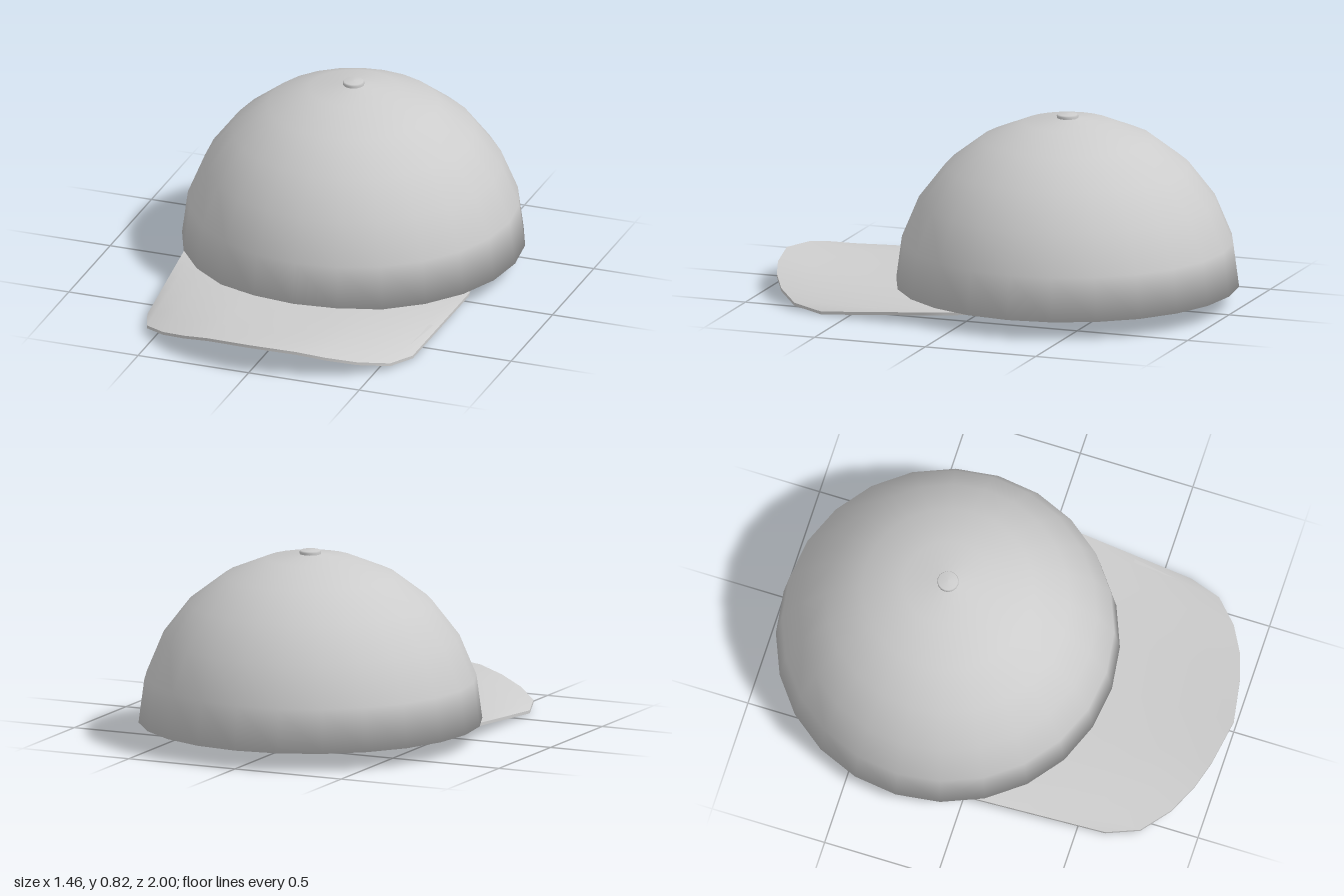
import * as THREE from 'three';

const fabric = new THREE.MeshStandardMaterial({ color: 0xcccccc });
fabric.name = 'greyFabric';
const fabricTwoSided = fabric;
fabricTwoSided.side = THREE.DoubleSide;

const CROWN_Z = -0.27, CROWN_R = 0.73, RIM_Y = 0.08, CROWN_H = 0.725;

function lathe(name, points, segments) {
  const profile = points.map(([r, y]) => new THREE.Vector2(r, y));
  const mesh = new THREE.Mesh(new THREE.LatheGeometry(profile, segments), fabric);
  mesh.name = name;
  mesh.position.z = CROWN_Z;
  return mesh;
}

// Half-sphere with a closed base, shaded softly around the rim
function makeCrown() {
  const points = [[0, RIM_Y], [0.54, RIM_Y]];
  for (let i = 0; i <= 6; i++) {
    const a = (i * Math.PI) / 12;
    points.push([i === 6 ? 0 : CROWN_R * Math.cos(a), RIM_Y + CROWN_H * Math.sin(a)]);
  }
  return lathe('crown', points, 24);
}

// Front edge of the visor from centre to corner: x, z, y
const EDGE = [
  [0, 1, 0.13], [0.2, 0.965, 0.115], [0.32, 0.925, 0.09],
  [0.44, 0.86, 0.06], [0.55, 0.76, 0.03], [0.6, 0.62, 0.014],
];

// Thin arched plate: a box whose columns run from under the crown to the front edge
function makeVisor() {
  const rows = 7, thickness = 0.013;
  const geo = new THREE.BoxGeometry(2, 1, 1, 10, 1, rows);
  const pos = geo.attributes.position;
  for (let i = 0; i < pos.count; i++) {
    const u = pos.getX(i), side = Math.sign(u);
    const [ex, ez, ey] = EDGE[Math.round(Math.abs(u) * 5)];
    const row = Math.round((pos.getZ(i) + 0.5) * rows);
    const drop = pos.getY(i) < 0 ? thickness : 0;
    const s = ex / 0.6;
    if (row === 0) {
      // tail tucked into the base of the crown
      pos.setXYZ(i, side * ex * 0.9, 0.092 - drop, -0.38);
      continue;
    }
    const t = (row - 1) / (rows - 1);
    const backY = 0.085 - 0.019 * s * s;
    const y = backY + (ey - backY) * Math.pow(t, 3 - 2 * s);
    const x = ex * (1.07 - 0.07 * t);
    pos.setXYZ(i, side * x, y - drop, 0.05 + (ez - 0.05) * t);
  }
  geo.computeVertexNormals();
  const mesh = new THREE.Mesh(geo, fabric);
  mesh.name = 'visor';
  return mesh;
}

// Small folded triangle on the left side of the visor
function makeFold() {
  const geo = new THREE.BufferGeometry();
  geo.setAttribute('position', new THREE.Float32BufferAttribute(
    [0.41, 0.073, 0.37, 0.56, 0.035, 0.63, 0.6, 0.048, 0.37], 3));
  geo.computeVertexNormals();
  const mesh = new THREE.Mesh(geo, fabricTwoSided);
  mesh.name = 'visorFold';
  return mesh;
}

export function createModel() {
  const cap = new THREE.Group();
  cap.name = 'cap';
  cap.add(makeCrown(), makeVisor(), makeFold());
  cap.add(lathe('topButton', [[0.044, 0.785], [0.046, 0.808], [0.042, 0.815], [0, 0.818]], 16));
  return cap;
}
